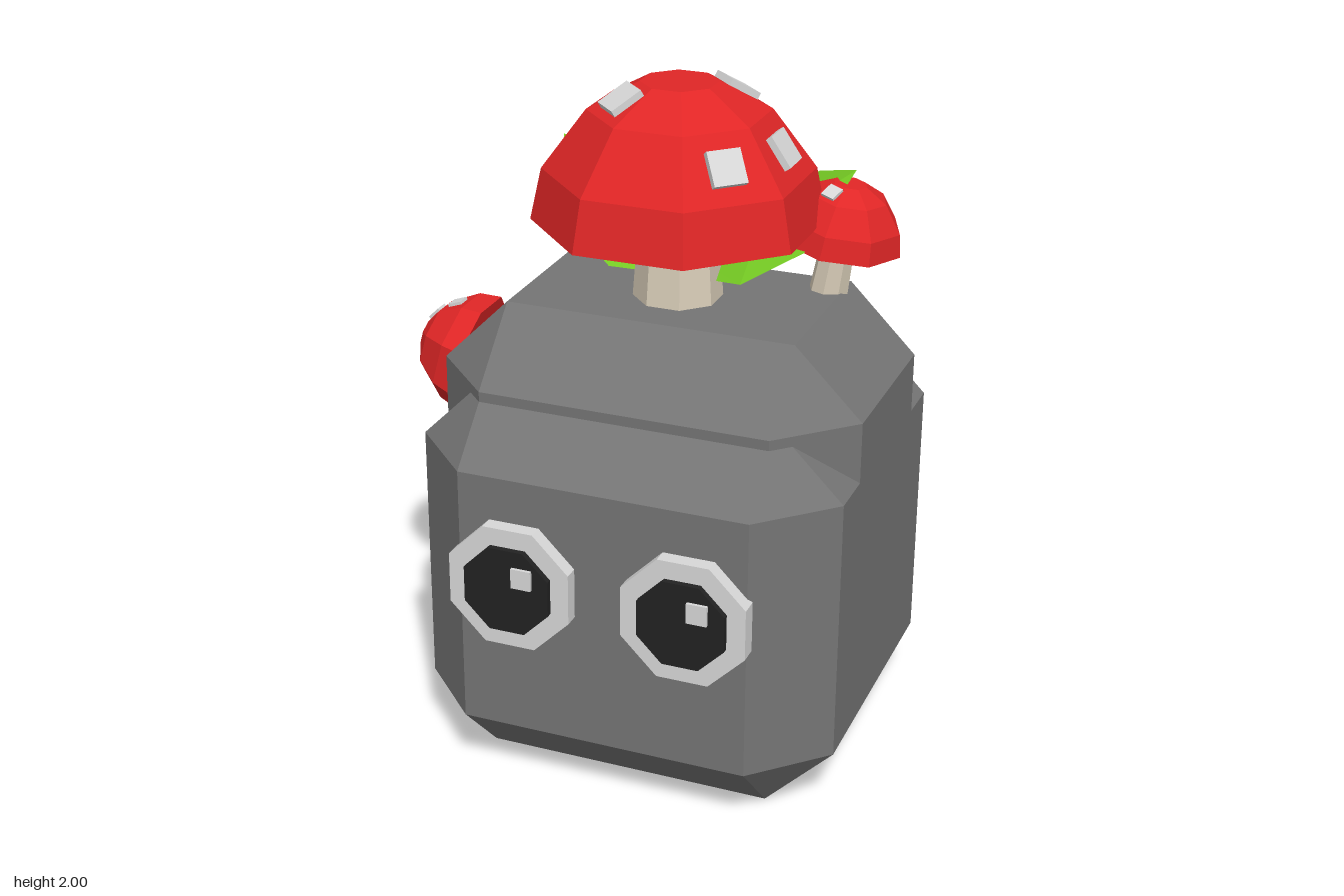
import * as THREE from 'three';
import { ConvexGeometry } from 'three/addons/geometries/ConvexGeometry.js';

const material = (name, color, side = THREE.FrontSide) => {
  const m = new THREE.MeshStandardMaterial({ color, flatShading: true, side });
  m.name = name;
  return m;
};

export function createModel() {
  const stone = material('stone grey', 0x757575);
  const red = material('cap red', 0xe02626);
  const cream = material('stem cream', 0xd8cdb8);
  const pale = material('pale grey', 0xd8d8d8);
  const black = material('pupil black', 0x222222);
  const green = material('leaf green', 0x74c823, THREE.DoubleSide);

  const model = new THREE.Group();
  const deg = Math.PI / 180;
  const toCorner = 1 / Math.cos(22.5 * deg); // octagon flat radius to corner radius

  const add = (parent, name, geometry, mat, x = 0, y = 0, z = 0) => {
    const mesh = new THREE.Mesh(geometry, mat);
    mesh.name = name;
    mesh.position.set(x, y, z);
    parent.add(mesh);
    return mesh;
  };

  // Box with all twelve edges cut at 45 degrees
  const chamferedBox = (min, max, c) => {
    const points = [];
    for (let i = 0; i < 8; i++) {
      const ends = [i & 1, (i >> 1) & 1, (i >> 2) & 1];
      for (let keep = 0; keep < 3; keep++) {
        points.push(new THREE.Vector3(...ends.map((e, a) => {
          const inset = a === keep ? 0 : c;
          return e ? max[a] - inset : min[a] + inset;
        })));
      }
    }
    return new ConvexGeometry(points);
  };

  // Body: broad lower block with a narrower block rising out of it
  add(model, 'lowerBody', chamferedBox([-0.5, 0, -0.64], [0.76, 1.19, 0.57], 0.2), stone);
  add(model, 'upperBody', chamferedBox([-0.5, 0.3, -0.5], [0.76, 1.37, 0.42], 0.2), stone);

  // Eyes: stacked octagonal plates with a square glint
  const octagonPlate = (flat, depth) => {
    const g = new THREE.CylinderGeometry(flat * toCorner, flat * toCorner, depth, 8, 1, false, 22.5 * deg);
    return g.rotateX(Math.PI / 2);
  };
  for (const [name, x] of [['rightEye', -0.13], ['leftEye', 0.39]]) {
    const eye = new THREE.Group();
    eye.name = name;
    eye.position.set(x, 0.677, 0);
    model.add(eye);
    add(eye, 'eyeWhite', octagonPlate(0.182, 0.055), pale, 0, 0, 0.5875);
    add(eye, 'pupil', octagonPlate(0.128, 0.03), black, 0, 0, 0.618);
    add(eye, 'glint', new THREE.BoxGeometry(0.06, 0.06, 0.02), pale, 0.05, 0.05, 0.633);
  }

  // Mushroom: eight-sided cap with its rim at y = 0, stem hanging below.
  // Spots are [octant, band], lying flat on one facet each.
  const profile = [[0, 0], [0.387, 0], [0.357, 0.15], [0.24, 0.32], [0.103, 0.4], [0, 0.4]];
  const addMushroom = (name, { at, tilt = 0, spin = 0, scale = 1, stem, spots }) => {
    const group = new THREE.Group();
    group.name = name;
    group.position.set(...at);
    group.rotation.set(0, spin * deg, tilt * deg, 'ZXY');
    group.scale.setScalar(scale);
    model.add(group);

    const points = profile.map(([r, y]) => new THREE.Vector2(r * toCorner, y));
    add(group, 'cap', new THREE.LatheGeometry(points, 8, 22.5 * deg), red);
    add(group, 'stem', new THREE.CylinderGeometry(0.112, 0.132, stem, 8, 1, false, 22.5 * deg),
      cream, 0, 0.01 - stem / 2, 0);

    for (const [octant, band] of spots) {
      const [r0, y0] = profile[band], [r1, y1] = profile[band + 1];
      const pivot = new THREE.Group();
      pivot.name = 'spotMount';
      pivot.rotation.y = octant * 45 * deg;
      group.add(pivot);
      const spot = add(pivot, 'spot', new THREE.BoxGeometry(0.1, 0.04, 0.1), pale,
        (r0 + r1) / 2, (y0 + y1) / 2, 0);
      spot.rotation.z = Math.atan2(r0 - r1, y1 - y0) - Math.PI / 2;
    }
  };
  addMushroom('bigMushroom', {
    at: [0.13, 1.6, -0.015], stem: 0.27,
    spots: [[0, 2], [-1, 2], [3, 2], [1, 3], [-3, 3]],
  });
  addMushroom('smallMushroom', {
    at: [0.54, 1.52, -0.225], tilt: -9, spin: 22.5, scale: 0.44, stem: 0.42,
    spots: [[1, 2], [-3, 3]],
  });
  addMushroom('upperSideMushroom', {
    at: [-0.58, 1.015, -0.16], tilt: 75, scale: 0.45, stem: 0.35,
    spots: [[0, 2], [0, 3], [4, 2]],
  });
  addMushroom('lowerSideMushroom', {
    at: [-0.57, 0.59, -0.11], tilt: 79, scale: 0.39, stem: 0.35,
    spots: [[1, 2], [0, 3]],
  });

  // Leaves: front edge, midrib and back edge at four stations out to the tip
  const stations = [
    [[0, 1.41, -0.06], [0, 1.45, -0.12], [0, 1.46, -0.18]],
    [[0.2, 1.44, 0.02], [0.2, 1.55, -0.14], [0.18, 1.6, -0.32]],
    [[0.36, 1.53, -0.06], [0.34, 1.65, -0.19], [0.32, 1.69, -0.31]],
    [[0.45, 1.73, -0.24], [0.45, 1.73, -0.24], [0.45, 1.73, -0.24]],
  ];
  const leafGeometry = (side) => {
    const positions = stations.flat().flatMap(([x, y, z]) => [x * side, y, z]);
    const index = [];
    for (let s = 0; s < 3; s++) {
      for (let k = 0; k < 2; k++) {
        const a = s * 3 + k, b = a + 1, c = a + 3, d = a + 4;
        const faces = [[a, c, b]];
        if (s < 2) faces.push([b, c, d]);
        for (const f of faces) index.push(...(side > 0 ? f : f.reverse()));
      }
    }
    const g = new THREE.BufferGeometry();
    g.setAttribute('position', new THREE.Float32BufferAttribute(positions, 3));
    g.setIndex(index);
    g.computeVertexNormals();
    return g;
  };
  add(model, 'leftLeaf', leafGeometry(1), green, 0.13);
  add(model, 'rightLeaf', leafGeometry(-1), green, 0.13);

  return model;
}
